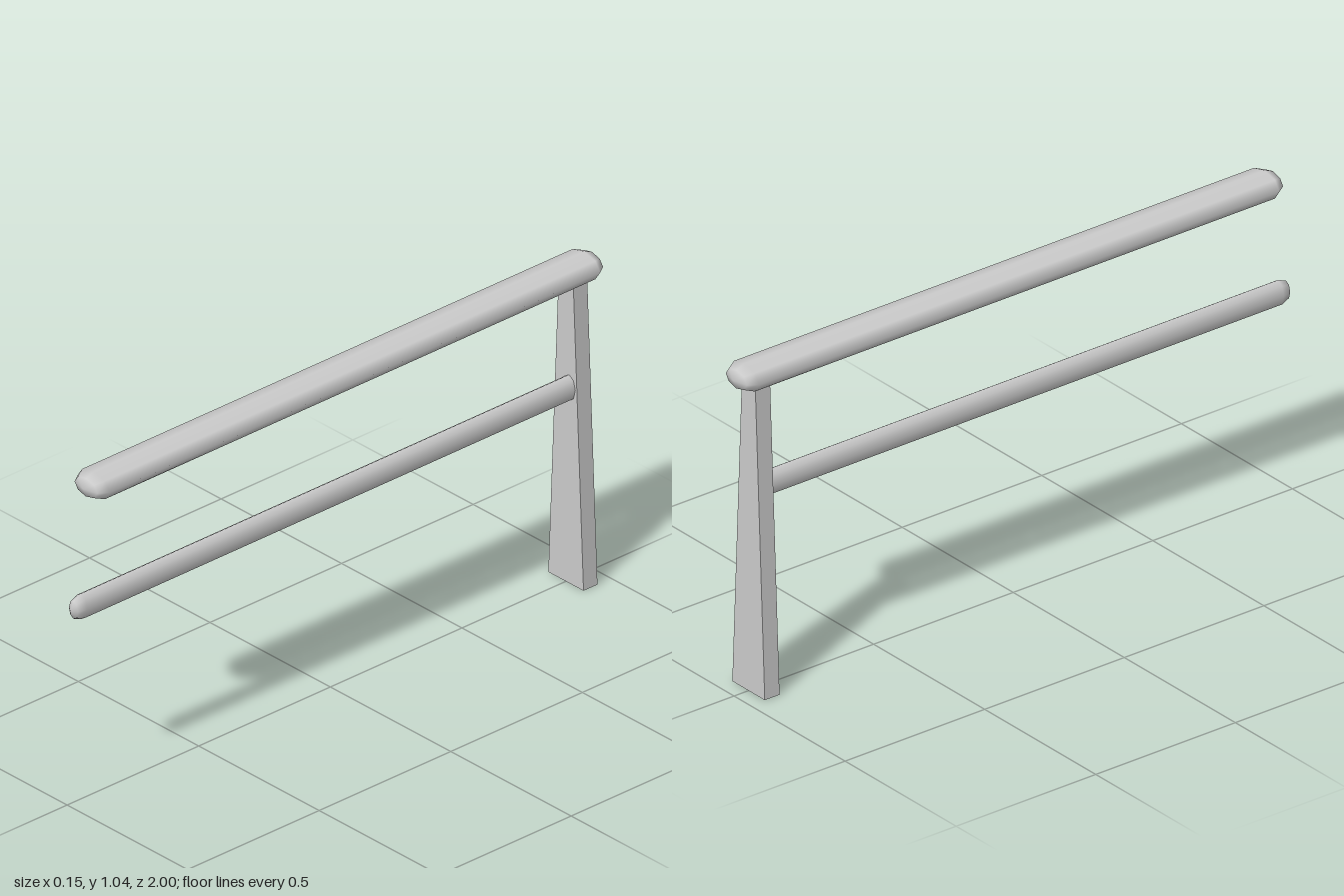
import * as THREE from 'three';

const material = new THREE.MeshStandardMaterial({ color: 0xcccccc });

// Eight-sided rail with rounded ends, lying along z, with an oval section
function rail(name, halfWidth, halfHeight, x, y, zBack, zFront) {
  const length = zFront - zBack;
  const geometry = new THREE.CapsuleGeometry(halfHeight, length - 2 * halfHeight, 2, 8);
  geometry.rotateX(Math.PI / 2);
  geometry.scale(halfWidth / halfHeight, 1, 1);
  const mesh = new THREE.Mesh(geometry, material);
  mesh.name = name;
  mesh.position.set(x, y, (zBack + zFront) / 2);
  return mesh;
}

// Flat post that narrows towards the top
function taperedPost(bottomHalf, topHalf, height, zBack, zFront) {
  const shape = new THREE.Shape([
    new THREE.Vector2(-bottomHalf, 0),
    new THREE.Vector2(bottomHalf, 0),
    new THREE.Vector2(topHalf, height),
    new THREE.Vector2(-topHalf, height),
  ]);
  const geometry = new THREE.ExtrudeGeometry(shape, { depth: zFront - zBack, bevelEnabled: false });
  const mesh = new THREE.Mesh(geometry, material);
  mesh.name = 'post';
  mesh.position.z = zBack;
  return mesh;
}

export function createModel() {
  const group = new THREE.Group();
  group.name = 'handrail';
  group.add(
    rail('topRail', 0.067, 0.041, 0.005, 0.998, -1, 0.945),
    rail('lowerRail', 0.026, 0.041, 0.013, 0.629, -0.94, 1),
    taperedPost(0.073, 0.03, 0.98, -0.948, -0.895),
  );
  return group;
}
